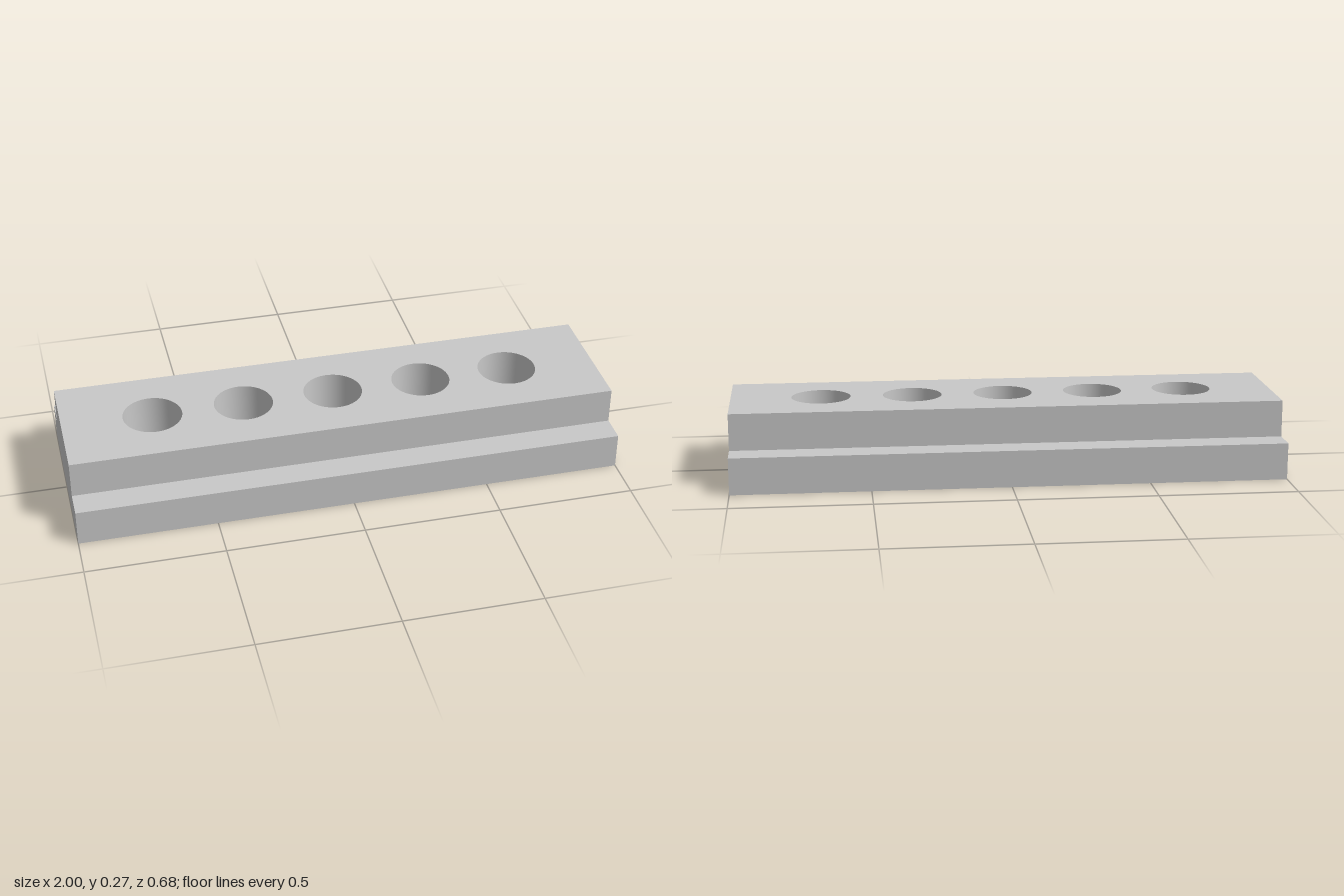
import * as THREE from 'three';

const LENGTH = 2, HEIGHT = 0.268, STEP = 0.134;
const HALF_BASE = 0.34, HALF_RAIL = 0.2375;
const HOLE_RADIUS = 0.108, HOLE_PITCH = 0.335;
const holeXs = [-2, -1, 0, 1, 2].map((i) => i * HOLE_PITCH);

// Flat rectangle along the bar, pierced by the row of holes
function piercedFace(halfWidth) {
  const l = LENGTH / 2;
  const shape = new THREE.Shape([
    new THREE.Vector2(-l, -halfWidth), new THREE.Vector2(l, -halfWidth),
    new THREE.Vector2(l, halfWidth), new THREE.Vector2(-l, halfWidth),
  ]);
  for (const x of holeXs) {
    shape.holes.push(new THREE.Path().absarc(x, 0, HOLE_RADIUS, 0, Math.PI * 2, true));
  }
  return new THREE.ShapeGeometry(shape, 32);
}

export function createModel() {
  const model = new THREE.Group();
  model.name = 'steppedRail';
  const grey = new THREE.MeshStandardMaterial({ color: 0xc8c8c8 });
  grey.name = 'lightGrey';

  const add = (name, geometry, parent = model) => {
    const mesh = new THREE.Mesh(geometry, grey);
    mesh.name = name;
    parent.add(mesh);
    return mesh;
  };

  // Top and bottom faces
  add('topFace', piercedFace(HALF_RAIL).rotateX(-Math.PI / 2).translate(0, HEIGHT, 0));
  add('bottomFace', piercedFace(HALF_BASE).rotateX(Math.PI / 2));

  // Long sides: base wall, ledge and raised wall, repeated on the back
  for (const [name, turn] of [['frontSide', 0], ['backSide', Math.PI]]) {
    const side = new THREE.Group();
    side.name = name;
    side.rotation.y = turn;
    add('baseWall', new THREE.PlaneGeometry(LENGTH, STEP).translate(0, STEP / 2, HALF_BASE), side);
    add('ledge', new THREE.PlaneGeometry(LENGTH, HALF_BASE - HALF_RAIL)
      .rotateX(-Math.PI / 2).translate(0, STEP, (HALF_BASE + HALF_RAIL) / 2), side);
    add('raisedWall', new THREE.PlaneGeometry(LENGTH, HEIGHT - STEP)
      .translate(0, (HEIGHT + STEP) / 2, HALF_RAIL), side);
    model.add(side);
  }

  // Stepped end faces
  const profile = new THREE.Shape([
    [-HALF_BASE, 0], [HALF_BASE, 0], [HALF_BASE, STEP], [HALF_RAIL, STEP],
    [HALF_RAIL, HEIGHT], [-HALF_RAIL, HEIGHT], [-HALF_RAIL, STEP], [-HALF_BASE, STEP],
  ].map(([x, y]) => new THREE.Vector2(x, y)));
  for (const [name, sign] of [['leftEnd', 1], ['rightEnd', -1]]) {
    add(name, new THREE.ShapeGeometry(profile)
      .rotateY(sign * Math.PI / 2).translate(sign * LENGTH / 2, 0, 0));
  }

  // Bore walls; the profile runs downward so the faces point inward
  const bore = new THREE.LatheGeometry(
    [new THREE.Vector2(HOLE_RADIUS, HEIGHT), new THREE.Vector2(HOLE_RADIUS, 0)], 64);
  holeXs.forEach((x, i) => { add(`bore${i + 1}`, bore).position.x = x; });

  return model;
}
